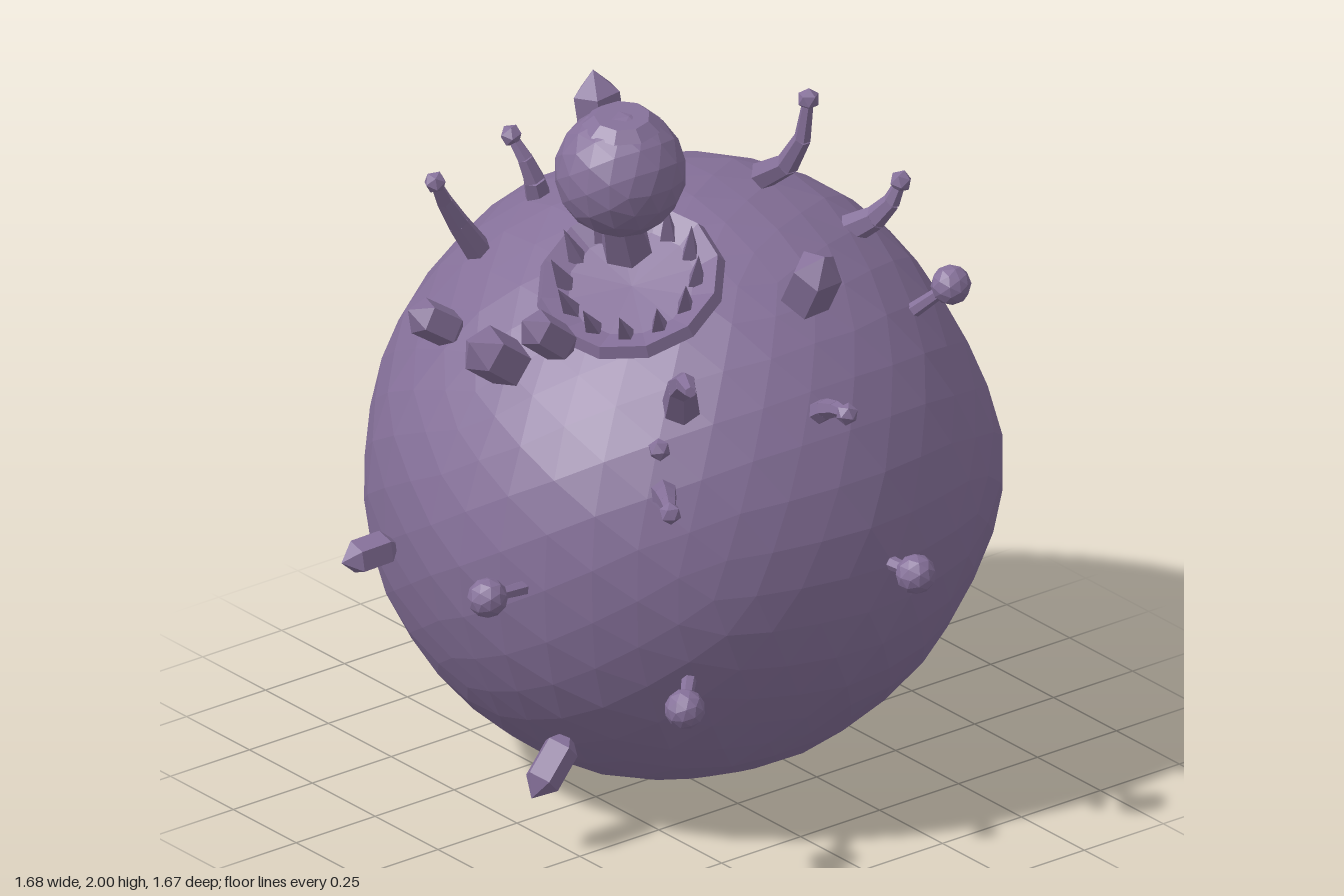
import * as THREE from 'three';

const V = (a) => new THREE.Vector3(...a);
const UP = new THREE.Vector3(0, 1, 0);
const CENTER = V([-0.07, 0.785, -0.06]);
const MOUTH_AXIS = V([0.27, 0.87, 0.4]).normalize();

export function createModel() {
  const model = new THREE.Group();
  const mat = new THREE.MeshStandardMaterial({ color: 0x857099, flatShading: true, side: THREE.DoubleSide });

  const add = (name, geo, pos, dir = UP, parent = model) => {
    const mesh = new THREE.Mesh(geo, mat);
    mesh.name = name;
    mesh.position.copy(pos);
    mesh.quaternion.setFromUnitVectors(UP, dir.clone().normalize());
    parent.add(mesh);
    return mesh;
  };
  const group = (name) => {
    const g = new THREE.Group();
    g.name = name;
    model.add(g);
    return g;
  };

  // Lumpy planet body: a faceted sphere with broad bumps and dents
  const bumps = [
    [0.27, 0.87, 0.4, -0.03], [-0.65, 0, -0.32, -0.05], [0.68, -0.55, 0.1, -0.03],
    [0, 0.5, 0.55, -0.03], [0, -0.7, -0.4, 0.035], [0, 0.6, -0.55, 0.02],
    [-0.62, 0.5, 0, 0.025], [0.48, 0, -0.65, 0.03], [0.4, 0, 0.7, 0.015],
  ].map(([x, y, z, h]) => ({ dir: V([x, y, z]).normalize(), h }));
  const bodyGeo = new THREE.IcosahedronGeometry(1, 6);
  const p = bodyGeo.attributes.position;
  const v = new THREE.Vector3();
  for (let i = 0; i < p.count; i++) {
    v.fromBufferAttribute(p, i).normalize();
    let r = 0.778 + 0.005 * Math.sin(7 * v.x + 3 * v.y) * Math.sin(6 * v.y - 5 * v.z + 1)
      + 0.003 * Math.sin(13 * v.z + 9 * v.x);
    for (const b of bumps) r += b.h * Math.exp(-12 * (1 - b.dir.dot(v)));
    p.setXYZ(i, v.x * r, v.y * r, v.z * r);
  }
  add('body', bodyGeo, CENTER);

  // Mouth: faceted dish ringed with teeth
  const mouth = group('mouth');
  mouth.position.set(0.14, 1.455, 0.25);
  mouth.quaternion.setFromUnitVectors(UP, MOUTH_AXIS);
  const profile = [[0, -0.05], [0.19, -0.05], [0.24, 0], [0.225, 0.03], [0.16, 0], [0, -0.01]]
    .map(([x, y]) => new THREE.Vector2(x, y));
  add('mouthDish', new THREE.LatheGeometry(profile, 12), V([0, 0, 0]), UP, mouth);
  const TEETH = 12;
  for (let i = 0; i < TEETH; i++) {
    const a = ((i + 0.5) / TEETH) * Math.PI * 2;
    const c = Math.cos(a), s = Math.sin(a);
    add('tooth', new THREE.ConeGeometry(0.026, 0.11, 4), V([c * 0.175, 0.055, s * 0.175]), V([c * 0.2, 1, s * 0.2]), mouth);
  }

  // Large bulb on a stalk rising out of the mouth
  add('bulbStalk', new THREE.CylinderGeometry(0.043, 0.066, 0.2, 6), V([0.195, 1.66, 0.325]), MOUTH_AXIS);
  const bulbPos = V([0.248, 1.836, 0.37]);
  add('bulb', new THREE.IcosahedronGeometry(0.165, 2), bulbPos);
  add('bulbCap', new THREE.CylinderGeometry(0.07, 0.1, 0.026, 9), bulbPos.clone().add(V([0.015, 0.146, 0.006])), V([0.1, 1, 0.08]));

  // Crystals: [position, direction, half length, radius]
  const crystals = group('crystals');
  [
    [[-0.217, 1.735, 0.065], [-0.1, 1, 0.1], 0.122, 0.07],
    [[0.55, 1.53, 0.005], [0.5, 0.8, 0.07], 0.12, 0.075],
    [[0.145, 1.38, 0.68], [0.05, 0.6, 0.8], 0.115, 0.075],
    [[0.16, 1.4, 0.53], [-0.05, 0.6, 0.75], 0.1, 0.06],
    [[-0.26, 1.29, 0.55], [-0.2, 0.5, 0.75], 0.09, 0.058],
    [[-0.27, 0.715, 0.75], [-0.1, -0.08, 1], 0.085, 0.052],
    [[0.18, 0.24, 0.535], [0.1, -0.7, 0.7], 0.1, 0.055],
  ].forEach(([pos, dir, len, rad]) => {
    const geo = new THREE.SphereGeometry(1, 5, 3).scale(rad, len, rad);
    add('crystal', geo, V(pos), V(dir), crystals);
  });

  // Small balls on stems: [ball centre, stem foot]
  const buds = group('buds');
  [
    [[0.795, 0.79, -0.13], [0.66, 0.79, -0.12]],
    [[0.235, 0.785, 0.78], [0.23, 0.775, 0.64]],
    [[0.605, 0.52, 0.45], [0.49, 0.56, 0.34]],
    [[0.47, 1.355, -0.5], [0.38, 1.26, -0.43]],
  ].forEach(([top, foot]) => {
    const a = V(foot), b = V(top), d = b.clone().sub(a);
    add('budBall', new THREE.IcosahedronGeometry(0.051, 1), b, d, buds);
    add('budStem', new THREE.CylinderGeometry(0.014, 0.021, d.length(), 6), a.add(b).multiplyScalar(0.5), d, buds);
  });

  // Tapered bent horns: [foot, tip, sideways bend, foot radius, knob position]
  const horns = group('horns');
  const SIDES = 6, STEPS = 3;
  [
    [[-0.235, 1.47, 0.44], [-0.2, 1.71, 0.6], [-0.01, 0.01, 0.01], 0.036],
    [[-0.39, 1.46, 0.12], [-0.425, 1.635, 0.18], [0.02, 0, 0], 0.036],
    [[0.56, 1.18, 0], [0.745, 1.26, 0.048], [0, 0.015, 0], 0.033],
    [[0.47, 1.05, 0.41], [0.66, 1.1, 0.54], [0, 0.01, 0], 0.036],
    [[0.49, 1.28, 0.37], [0.69, 1.43, 0.5], [-0.01, 0.04, 0], 0.05, [0.51, 1.195, 0.455]],
    [[0.17, 1.42, -0.42], [0.27, 1.565, -0.5], [0.02, -0.01, -0.01], 0.04],
    [[0.12, 1.62, -0.185], [0.28, 1.88, -0.2], [0.04, -0.03, 0], 0.038],
  ].forEach(([foot, tip, bend, rad, knob]) => {
    const a = V(foot), b = V(tip), d = b.clone().sub(a);
    const mid = a.clone().lerp(b, 0.5).addScaledVector(V(bend), 2);
    const curve = new THREE.QuadraticBezierCurve3(a, mid, b);
    for (let i = 0; i < STEPS; i++) {
      const p0 = curve.getPoint(i / STEPS), p1 = curve.getPoint((i + 1) / STEPS);
      const seg = p1.clone().sub(p0);
      const rAt = (t) => THREE.MathUtils.lerp(rad, 0.014, t);
      const geo = new THREE.CylinderGeometry(rAt((i + 1) / STEPS), rAt(i / STEPS), seg.length() * 1.03, SIDES);
      add('hornSegment', geo, p0.add(p1).multiplyScalar(0.5), seg, horns);
    }
    add('hornKnob', new THREE.IcosahedronGeometry(0.029, 0), V(knob || tip), d, horns);
  });

  return model;
}
